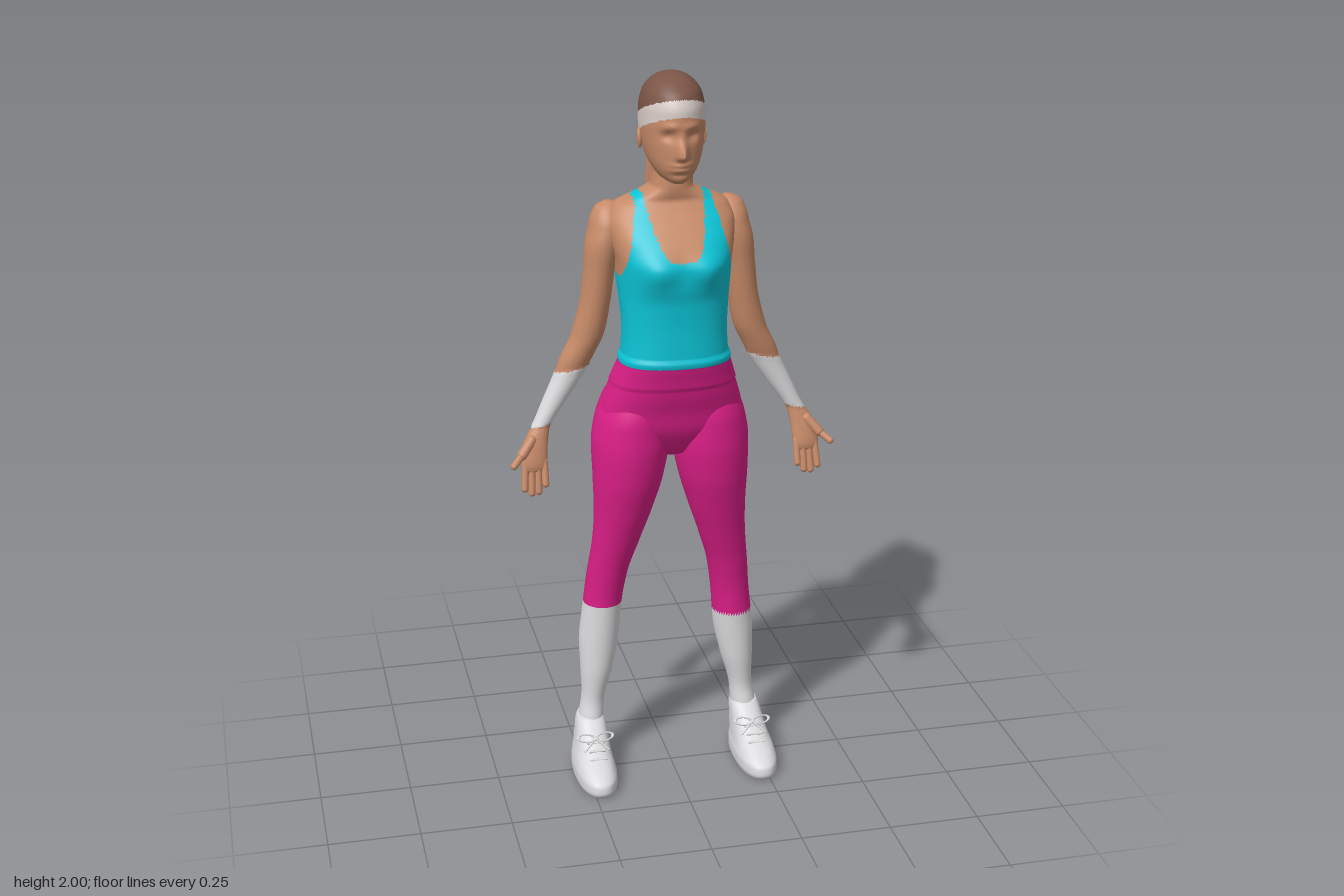
import * as THREE from 'three';

const mat = (name, color) => Object.assign(new THREE.MeshStandardMaterial({ color }), { name });
const skin = mat('skin', 0xc68a68), hair = mat('hair', 0x7b5547), band = mat('headband', 0xd8cbc6);
const tank = mat('tank top', 0x0cc4d6), pants = mat('leggings', 0xdc1f87), white = mat('white cloth', 0xdadadc);

const bump = (d, w) => Math.exp(-(d * d) / (w * w));
const within = (v, a, b) => v > a && v < b;

// Monotone cubic through the keys, one value per column
function sample(keys, i, t, col) {
  const sec = (k) => (keys[k + 1][col] - keys[k][col]) / (keys[k + 1][0] - keys[k][0]);
  const slope = (k) => {
    if (k === 0) return sec(0);
    if (k === keys.length - 1) return sec(k - 1);
    const a = sec(k - 1), b = sec(k);
    return a * b <= 0 ? 0 : (2 * a * b) / (a + b);
  };
  const h = keys[i + 1][0] - keys[i][0], t2 = t * t, t3 = t2 * t;
  return keys[i][col] * (2 * t3 - 3 * t2 + 1) + keys[i + 1][col] * (3 * t2 - 2 * t3)
    + slope(i) * h * (t3 - 2 * t2 + t) + slope(i + 1) * h * (t3 - t2);
}

// Skin over horizontal rings. Key: [y, centre x, half width, centre z, front z, back z]
function loft(name, keyList, mats, { seg = 40, step = 0.012, power = 2, side = 1, paint = () => 0, shape } = {}) {
  const keys = [...keyList].sort((a, b) => a[0] - b[0]);
  const pos = [], rows = [];
  const ring = (i, t) => {
    const y = keys[i][0] + (keys[i + 1][0] - keys[i][0]) * t;
    const [cx, rx, cz, f, b] = [1, 2, 3, 4, 5].map((c) => sample(keys, i, t, c));
    rows.push([cx * side, y, cz]);
    for (let j = 0; j < seg; j++) {
      const a = (j / seg) * Math.PI * 2, s = Math.sin(a), c = Math.cos(a);
      const sx = Math.sign(s) * Math.abs(s) ** (2 / power), sz = Math.sign(c) * Math.abs(c) ** (2 / power);
      const p = new THREE.Vector3(cx * side + rx * sx, y, cz + sz * (c > 0 ? f - cz : cz - b));
      if (shape) shape(p, sx, sz);
      pos.push(p.x, p.y, p.z);
    }
  };
  for (let i = 0; i < keys.length - 1; i++) {
    const n = Math.max(2, Math.ceil((keys[i + 1][0] - keys[i][0]) / step));
    for (let k = 0; k < n; k++) ring(i, k / n);
  }
  ring(keys.length - 2, 1);
  const last = rows.length - 1, faces = mats.map(() => []);
  pos.push(...rows[0], ...rows[last]);
  const bottom = rows.length * seg, top = bottom + 1;
  const tri = (...v) => {
    const m = [0, 1, 2].map((c) => v.reduce((sum, k) => sum + pos[k * 3 + c], 0) / 3);
    faces[paint(...m)].push(...v);
  };
  for (let j = 0; j < seg; j++) {
    const n = (j + 1) % seg;
    for (let r = 0; r < last; r++) {
      const a = r * seg + j, b = r * seg + n;
      tri(a, b, b + seg);
      tri(a, b + seg, a + seg);
    }
    tri(bottom, n, j);
    tri(top, last * seg + j, last * seg + n);
  }
  const g = new THREE.BufferGeometry();
  g.setAttribute('position', new THREE.Float32BufferAttribute(pos, 3));
  g.setIndex(faces.flat());
  let start = 0;
  faces.forEach((f, i) => { g.addGroup(start, f.length, i); start += f.length; });
  g.computeVertexNormals();
  const mesh = new THREE.Mesh(g, mats);
  mesh.name = name;
  return mesh;
}

// Rounded rod between two points
function rod(name, a, b, r, material) {
  const p = new THREE.Vector3(...a), q = new THREE.Vector3(...b), d = q.clone().sub(p);
  const mesh = new THREE.Mesh(new THREE.CapsuleGeometry(r, d.length(), 5, 12), material);
  mesh.position.copy(p).add(q).multiplyScalar(0.5);
  mesh.quaternion.setFromUnitVectors(new THREE.Vector3(0, 1, 0), d.normalize());
  mesh.name = name;
  return mesh;
}

const HEAD = [
  [2.0, 0, 0.008, 0.015, 0.025, 0.005], [1.992, 0, 0.035, 0.015, 0.055, -0.03], [1.975, 0, 0.058, 0.015, 0.09, -0.068],
  [1.95, 0, 0.075, 0.012, 0.117, -0.092], [1.91, 0, 0.084, 0.01, 0.132, -0.105], [1.87, 0, 0.085, 0.01, 0.133, -0.106],
  [1.83, 0, 0.081, 0.015, 0.132, -0.092], [1.79, 0, 0.072, 0.025, 0.132, -0.065], [1.76, 0, 0.058, 0.04, 0.129, -0.035],
  [1.735, 0, 0.038, 0.05, 0.12, -0.01], [1.725, 0, 0.022, 0.055, 0.105, 0.01]];
const TORSO = [
  [1.82, 0, 0.05, -0.01, 0.05, -0.07], [1.75, 0, 0.05, 0.0, 0.058, -0.062], [1.705, 0, 0.055, 0.0, 0.06, -0.06],
  [1.685, 0, 0.083, -0.01, 0.058, -0.064], [1.67, 0, 0.118, -0.015, 0.055, -0.068], [1.65, 0, 0.155, -0.02, 0.066, -0.075],
  [1.61, 0, 0.172, -0.015, 0.1, -0.087], [1.56, 0, 0.165, 0, 0.142, -0.09], [1.51, 0, 0.153, 0.02, 0.165, -0.085],
  [1.46, 0, 0.15, 0.02, 0.161, -0.077], [1.41, 0, 0.145, 0.03, 0.152, -0.066], [1.33, 0, 0.14, 0.04, 0.148, -0.053],
  [1.25, 0, 0.145, 0.04, 0.149, -0.055], [1.2, 0, 0.16, 0.025, 0.139, -0.073], [1.15, 0, 0.177, 0.01, 0.128, -0.095],
  [1.1, 0, 0.192, 0, 0.112, -0.113], [1.05, 0, 0.2, -0.01, 0.1, -0.112], [1.0, 0, 0.165, -0.01, 0.075, -0.09],
  [0.965, 0, 0.09, -0.01, 0.05, -0.06], [0.95, 0, 0.03, -0.01, 0.02, -0.03]];
const LEG = [
  [1.17, 0.1, 0.05, -0.01, 0.05, -0.07], [1.12, 0.1, 0.086, -0.01, 0.095, -0.115], [1.06, 0.107, 0.099, -0.01, 0.106, -0.135],
  [1.0, 0.11, 0.106, -0.01, 0.106, -0.127], [0.9, 0.118, 0.097, -0.005, 0.095, -0.1], [0.8, 0.131, 0.081, -0.01, 0.07, -0.09],
  [0.7, 0.15, 0.066, -0.02, 0.042, -0.086], [0.6, 0.171, 0.057, -0.04, 0.018, -0.1], [0.5, 0.184, 0.054, -0.055, 0.003, -0.117],
  [0.4, 0.194, 0.056, -0.06, 0.0, -0.119], [0.3, 0.204, 0.046, -0.052, -0.002, -0.104], [0.2, 0.217, 0.033, -0.048, -0.01, -0.086],
  [0.14, 0.224, 0.036, -0.045, 0.0, -0.088], [0.08, 0.228, 0.035, -0.045, 0.0, -0.088]];
const SHOE = [
  [0.155, 0.225, 0.035, -0.045, -0.005, -0.09], [0.14, 0.226, 0.041, -0.04, 0.015, -0.094], [0.11, 0.228, 0.045, -0.02, 0.055, -0.096],
  [0.08, 0.23, 0.049, 0.0, 0.105, -0.097], [0.055, 0.232, 0.054, 0.03, 0.16, -0.098], [0.035, 0.232, 0.058, 0.04, 0.185, -0.099],
  [0.015, 0.232, 0.058, 0.04, 0.188, -0.1], [0, 0.232, 0.053, 0.04, 0.178, -0.096]];
const ARM = [
  [1.658, 0.16, 0.012, -0.025, -0.01, -0.04], [1.645, 0.163, 0.033, -0.025, 0.008, -0.06], [1.6, 0.168, 0.046, -0.025, 0.035, -0.078],
  [1.55, 0.179, 0.047, -0.018, 0.042, -0.075], [1.48, 0.19, 0.042, -0.015, 0.036, -0.064], [1.4, 0.2, 0.041, -0.017, 0.03, -0.062],
  [1.3, 0.222, 0.044, -0.022, 0.022, -0.066], [1.24, 0.25, 0.044, -0.027, 0.014, -0.064], [1.19, 0.273, 0.039, -0.028, 0.005, -0.06],
  [1.12, 0.313, 0.031, -0.024, 0.003, -0.051], [1.06, 0.348, 0.024, -0.018, 0.004, -0.04], [1.03, 0.363, 0.029, -0.007, 0.012, -0.026],
  [0.99, 0.376, 0.036, 0.005, 0.023, -0.014], [0.95, 0.378, 0.036, 0.014, 0.03, -0.002], [0.935, 0.378, 0.03, 0.018, 0.028, 0.006]];
const TAIL = [
  [1.945, 0.01, 0.018, -0.125, -0.11, -0.14], [1.92, 0.01, 0.04, -0.12, -0.085, -0.152], [1.85, 0.015, 0.047, -0.12, -0.085, -0.155],
  [1.75, 0.025, 0.058, -0.13, -0.088, -0.168], [1.65, 0.028, 0.063, -0.14, -0.097, -0.183], [1.58, 0.03, 0.056, -0.145, -0.105, -0.188],
  [1.52, 0.032, 0.041, -0.142, -0.112, -0.174], [1.485, 0.032, 0.018, -0.14, -0.125, -0.155]];

// Face relief: brow, eye sockets, nose, lips
function faceShape(p, sx, sz) {
  if (sz < 0.3) return;
  const ax = Math.abs(p.x);
  p.z += 0.034 * bump(p.x, 0.013) * (p.y > 1.805 ? bump(p.y - 1.805, 0.032) : bump(p.y - 1.805, 0.012));
  p.z -= 0.011 * bump(ax - 0.032, 0.018) * bump(p.y - 1.853, 0.014);
  p.z += 0.005 * bump(ax - 0.03, 0.025) * bump(p.y - 1.878, 0.01);
  p.z += 0.007 * bump(p.x, 0.024) * (bump(p.y - 1.779, 0.006) + bump(p.y - 1.766, 0.006));
  p.z -= 0.004 * bump(p.x, 0.03) * bump(p.y - 1.752, 0.006);
}

// Scoop neck, armholes and racer back of the top
function torsoPaint(x, y, z) {
  const ax = Math.abs(x);
  if (y < 1.24) return 2;
  if (y > 1.69) return 0;
  if (z > -0.02) {
    if (y > 1.53 + 0.12 * (ax / 0.076) ** 4) return 0;
    return y > 1.475 && ax > 0.104 + 0.24 * Math.max(0, 1.66 - y) ? 0 : 1;
  }
  if (y > 1.61 + 0.08 * (ax / 0.08) ** 2) return 0;
  return y > 1.475 && ax > 0.068 + 0.07 * ((1.6 - y) / 0.12) ** 2 ? 0 : 1;
}

// Bust, spine groove, hem and waistband
function torsoShape(p, sx, sz) {
  const ax = Math.abs(p.x);
  if (sz > 0) p.z += 0.017 * bump(ax - 0.07, 0.045) * bump(p.y - 1.505, 0.045);
  else p.z += 0.009 * bump(p.x, 0.025) * bump(p.y - 1.4, 0.17);
  const out = within(p.y, 1.24, 1.256) ? 0.005 : within(p.y, 1.175, 1.24) ? 0.003 : 0;
  p.x += sx * out;
  p.z += sz * out;
}

export function createModel() {
  const model = new THREE.Group();
  model.name = 'woman in sportswear';

  model.add(loft('torso', TORSO, [skin, tank, pants], { seg: 112, step: 0.006, power: 2.4, paint: torsoPaint, shape: torsoShape }));

  // Head with a sloping headband
  const tilt = (y, z) => y - (1.925 + 0.4 * (z - 0.13));
  model.add(loft('head', HEAD, [skin, hair, band], {
    seg: 96, step: 0.004, shape: faceShape,
    paint: (x, y, z) => (tilt(y, z) > 0.024 ? 1 : tilt(y, z) > -0.024 ? 2 : 0),
  }));

  // Ponytail with strand grooves
  model.add(loft('ponytail', TAIL, [skin], {
    seg: 56,
    shape: (p, sx, sz) => {
      const d = 0.004 * Math.sin(Math.atan2(sx, sz) * 7 + p.y * 9);
      p.x += sx * d;
      p.z += sz * d;
    },
  }));

  for (const side of [1, -1]) {
    const word = side > 0 ? 'left' : 'right';
    const at = (x, y, z) => [x * side, y, z];

    const ear = new THREE.Mesh(new THREE.SphereGeometry(1, 16, 12), skin);
    ear.name = word + 'Ear';
    ear.scale.set(0.008, 0.028, 0.017);
    ear.position.set(0.083 * side, 1.83, 0.005);
    ear.rotation.set(-0.2, 0.25 * side, 0);
    model.add(ear);

    // Arm with wristband
    const cuff = (x, y) => within(y + 0.2 * (Math.abs(x) - 0.3), 1.065, 1.2);
    model.add(loft(word + 'Arm', ARM, [skin, white], {
      side, step: 0.007, paint: (x, y) => (cuff(x, y) ? 1 : 0),
      shape: (p, sx, sz) => { if (cuff(p.x, p.y)) { p.x += sx * 0.002; p.z += sz * 0.002; } },
    }));

    // Fingers and thumb
    const hand = new THREE.Group();
    hand.name = word + 'Hand';
    [0.89, 0.877, 0.88, 0.9].forEach((tip, i) => {
      const x = 0.402 - i * 0.017;
      hand.add(rod('finger', at(x, 0.96, 0.014), at(x + 0.006 - i * 0.002, tip, 0.032), 0.0095, skin));
    });
    hand.add(rod('thumbBase', at(0.382, 1.02, 0.006), at(0.412, 0.985, 0.025), 0.014, skin));
    hand.add(rod('thumbTip', at(0.412, 0.985, 0.025), at(0.438, 0.964, 0.048), 0.0095, skin));
    model.add(hand);

    // Leg in leggings and sock
    const hem = side > 0 ? 0.44 : 0.5;
    model.add(loft(word + 'Leg', LEG, [pants, white], { side, seg: 48, paint: (x, y) => (y > hem ? 0 : 1) }));

    // Shoe with lace bow
    model.add(loft(word + 'Shoe', SHOE, [white], { side, seg: 48, step: 0.006, power: 2.3 }));
    const laces = new THREE.Group();
    laces.name = word + 'Laces';
    for (const s of [1, -1]) {
      const loop = new THREE.Mesh(new THREE.TorusGeometry(0.016, 0.003, 6, 18), white);
      loop.name = 'laceLoop';
      loop.scale.set(1.5, 0.7, 1);
      loop.position.set(0.228 * side + s * 0.026, 0.122, 0.05);
      loop.rotation.set(-0.7, 0, s * 0.15);
      laces.add(loop);
      laces.add(rod('laceEnd', [0.228 * side, 0.12, 0.052], [0.228 * side + s * 0.034, 0.092, 0.07], 0.003, white));
    }
    for (let i = 0; i < 3; i++) {
      const y = 0.108 - i * 0.014, z = 0.06 + i * 0.023;
      laces.add(rod('laceBar', at(0.208, y, z - 0.005), at(0.25, y, z - 0.005), 0.004, white));
    }
    model.add(laces);
  }
  return model;
}
